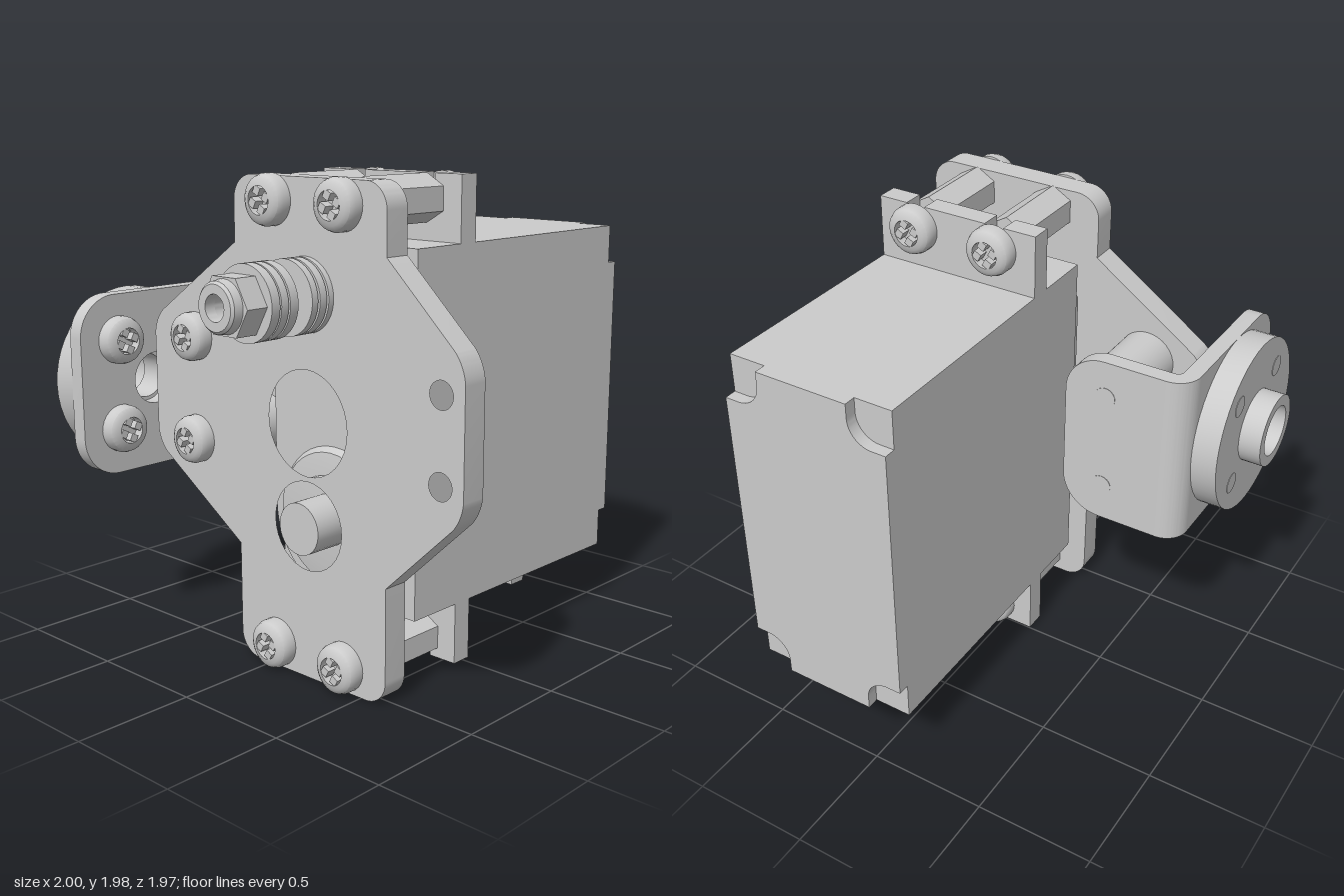
import * as THREE from 'three';
import { toCreasedNormals } from 'three/addons/utils/BufferGeometryUtils.js';

const UP = new THREE.Vector3(0, 1, 0);
const X = new THREE.Vector3(1, 0, 0), NX = new THREE.Vector3(-1, 0, 0);
const Z = new THREE.Vector3(0, 0, 1), NZ = new THREE.Vector3(0, 0, -1);

export function createModel() {
  const model = new THREE.Group();
  const grey = new THREE.MeshStandardMaterial({ color: 0xcccccc });

  const add = (name, geo, parent = model) => {
    const mesh = new THREE.Mesh(toCreasedNormals(geo, 0.6), grey);
    mesh.name = name;
    parent.add(mesh);
    return mesh;
  };
  // Turn something built along +y towards a direction and move it
  const place = (obj, dir, x, y, z) => {
    obj.quaternion.setFromUnitVectors(UP, dir);
    obj.position.set(x, y, z);
    return obj;
  };
  // Box from its limits
  const box = (name, x0, x1, y0, y1, z0, z1) =>
    add(name, new THREE.BoxGeometry(x1 - x0, y1 - y0, z1 - z0)
      .translate((x0 + x1) / 2, (y0 + y1) / 2, (z0 + z1) / 2));
  // Polygon of [u, v, cornerRadius] points
  const roundedShape = (pts) => {
    const s = new THREE.Shape(), n = pts.length;
    pts.forEach(([u, v, r = 0], i) => {
      const p = new THREE.Vector2(u, v);
      const toward = (q) => new THREE.Vector2(q[0], q[1]).sub(p).setLength(r).add(p);
      const a = toward(pts[(i + n - 1) % n]), b = toward(pts[(i + 1) % n]);
      if (i) s.lineTo(a.x, a.y); else s.moveTo(a.x, a.y);
      if (r) s.bezierCurveTo(a.x + (u - a.x) * 0.55, a.y + (v - a.y) * 0.55,
        b.x + (u - b.x) * 0.55, b.y + (v - b.y) * 0.55, b.x, b.y);
    });
    s.closePath();
    return s;
  };
  const hole = (s, u, v, r) => s.holes.push(new THREE.Path().absarc(u, v, r, 0, Math.PI * 2, true));
  const extrude = (s, depth) =>
    new THREE.ExtrudeGeometry(s, { depth, bevelEnabled: false, curveSegments: 16 });
  // Extrude a (z, y) outline between two x values
  const slabX = (name, s, x0, x1) =>
    add(name, extrude(s, x1 - x0).rotateY(-Math.PI / 2).translate(x1, 0, 0));
  const lathe = (pts, seg = 40) =>
    new THREE.LatheGeometry(pts.map(([r, h]) => new THREE.Vector2(r, h)), seg);
  const ring = (r, ri, h) => lathe([[ri, 0], [r, 0], [r, h], [ri, h], [ri, 0]]);

  // Pan-head screw with a cross recess, base at the origin
  const screw = (name, dir, x, y, z) => {
    const g = new THREE.Group();
    g.name = name;
    add('screwHead', lathe([[0, 0], [0.1, 0], [0.1, 0.035], [0.092, 0.056], [0.075, 0.068],
      [0.055, 0.073], [0.055, 0.03], [0, 0.03]], 28), g);
    for (let i = 0; i < 4; i++) {
      const a = i * Math.PI / 2 + 0.3;
      add('recessLand', new THREE.BoxGeometry(0.032, 0.041, 0.032).rotateY(Math.PI / 4)
        .translate(0.038, 0.0505, 0).rotateY(a), g);
    }
    model.add(place(g, dir, x, y, z));
  };

  // Servo body with notched end corners
  const zc = 0.22, z0 = -0.14, z1 = 0.58, y0 = 0.275, y1 = 1.72, n = 0.16;
  box('servoBody', -0.33, 0.95, y0, y1, z0, z1);
  slabX('servoEndCap', roundedShape([
    [z0 + n, y0], [z1 - n, y0], [z1 - n, y0 + n, 0.1], [z1, y0 + n], [z1, y1 - n],
    [z1 - n, y1 - n, 0.1], [z1 - n, y1], [z0 + n, y1], [z0 + n, y1 - n, 0.1],
    [z0, y1 - n], [z0, y0 + n], [z0 + n, y0 + n, 0.1]]), 0.95, 1);

  // Raised gear cover with a half-round lower end and sloped upper end
  const cover = new THREE.Shape();
  cover.moveTo(zc + 0.33, 1.53);
  cover.lineTo(zc - 0.33, 1.53);
  cover.lineTo(zc - 0.33, 0.635);
  cover.absarc(zc, 0.635, 0.33, Math.PI, Math.PI * 2, false);
  cover.closePath();
  slabX('gearCover', cover, -0.4, -0.33);
  add('gearCoverSlope', extrude(roundedShape([[-0.4, 1.53], [-0.33, 1.53], [-0.33, 1.6]]), 0.66)
    .translate(0, 0, zc - 0.33));
  place(add('shaftBoss', lathe([[0.29, 0], [0.27, 0.025], [0.2, 0.035], [0, 0.035]])),
    NX, -0.4, 0.635, zc);
  place(add('outputShaft', lathe([[0.105, 0], [0.105, 0.17], [0, 0.17]], 24)),
    NX, -0.43, 0.635, zc);

  // Mounting ears with open screw slots, ribs, standoffs and screws
  const screwZ = [0.045, 0.41], sw = 0.042;
  for (const top of [true, false]) {
    const fy = (d) => (top ? 1.98 - d : 0.02 + d);
    const [a, b] = screwZ;
    const outline = [[z0, 0.27], [z0, 0], [a - sw, 0], [a - sw, 0.13, 0.035], [a + sw, 0.13, 0.035],
      [a + sw, 0], [b - sw, 0], [b - sw, 0.13, 0.035], [b + sw, 0.13, 0.035], [b + sw, 0],
      [z1, 0], [z1, 0.27]].map(([u, d, r]) => [u, fy(d), r]);
    slabX('mountingEar', roundedShape(outline), -0.08, 0.01);
    const rib = [[-0.15, 0.27], [-0.12, 0.17], [-0.08, 0.17], [-0.08, 0.27]]
      .map(([u, d]) => [u, fy(d)]);
    add('earRib', extrude(roundedShape(rib), 0.04).translate(0, 0, zc - 0.02));
    const sy = top ? 1.885 : 0.11;
    for (const z of screwZ) {
      place(add('hexStandoff', new THREE.CylinderGeometry(0.095, 0.095, 0.36, 6)
        .rotateY(Math.PI / 6)), X, -0.26, sy, z);
      place(add('screwThread', new THREE.CylinderGeometry(0.038, 0.038, 0.1, 16)), X, -0.035, sy, z);
      screw('earScrew', X, 0.01, sy, z);
      screw('plateScrew', NX, -0.55, sy, z);
    }
  }

  // Cable outlet under the body
  box('cableCollar', 0.63, 0.77, 0.225, 0.28, 0.1, 0.35);
  const outlet = new THREE.BoxGeometry(0.12, 0.14, 0.21);
  const op = outlet.attributes.position;
  for (let i = 0; i < op.count; i++) {
    if (op.getY(i) < 0) op.setXYZ(i, op.getX(i) * 0.7, op.getY(i), op.getZ(i) * 0.88);
  }
  add('cableOutlet', outlet.translate(0.7, 0.16, 0.225));

  // Main plate
  const plate = roundedShape([
    [0.625, 0.005, 0.1], [0.625, 0.48], [0.985, 0.82, 0.07], [0.985, 1.37, 0.07], [0.625, 1.71],
    [0.625, 1.975, 0.1], [-0.17, 1.975, 0.1], [-0.17, 1.71], [-0.68, 1.36, 0.07],
    [-0.68, 0.82, 0.07], [-0.17, 0.48], [-0.17, 0.005, 0.1]].reverse());
  hole(plate, 0.88, 1.255, 0.053);
  hole(plate, 0.88, 0.925, 0.053);
  hole(plate, zc, 1.045, 0.21);
  hole(plate, zc, 0.635, 0.18);
  hole(plate, zc, 1.54, 0.06);
  slabX('mainPlate', plate, -0.55, -0.44);

  // Washer stacks and lock nut
  for (const [x, h, r] of [[-0.55, 0.025, 0.145], [-0.585, 0.035, 0.145], [-0.63, 0.03, 0.145],
    [-0.55, 0.1, 0.115], [-0.73, 0.04, 0.145], [-0.778, 0.035, 0.145], [-0.82, 0.04, 0.145],
    [-0.73, 0.12, 0.11]]) {
    place(add('washer', ring(r, 0.06, h)), NX, x, 1.54, zc);
  }
  const hex = new THREE.Shape();
  for (let i = 0; i < 6; i++) {
    const a = i * Math.PI / 3;
    hex[i ? 'lineTo' : 'moveTo'](zc + 0.122 * Math.cos(a), 1.54 + 0.122 * Math.sin(a));
  }
  hex.closePath();
  hole(hex, zc, 1.54, 0.05);
  slabX('lockNut', hex, -0.955, -0.86);
  place(add('lockNutCollar', lathe([[0.05, 0], [0.1, 0], [0.095, 0.035], [0.085, 0.045],
    [0.05, 0.045], [0.05, 0]], 28)), NX, -0.955, 1.54, zc);

  // Angle bracket: side leg, bend and rear leg
  const yb = 0.715, yt = 1.472, hx = -0.533, hy = 1.094;
  slabX('bracketSideLeg', roundedShape([[-0.68, yb], [-0.24, yb, 0.17], [-0.24, yt, 0.17],
    [-0.68, yt]]), -0.15, -0.08);
  const bend = new THREE.Shape();
  bend.absarc(-0.18, 0.68, 0.1, 0, Math.PI / 2, false);
  bend.absarc(-0.18, 0.68, 0.03, Math.PI / 2, 0, true);
  bend.closePath();
  add('bracketBend', extrude(bend, yt - yb).rotateX(-Math.PI / 2).translate(0, yb, 0));
  const rear = roundedShape([[-0.91, yb, 0.17], [-0.18, yb], [-0.18, yt], [-0.91, yt, 0.17]]);
  hole(rear, hx, hy, 0.11);
  add('bracketRearLeg', extrude(rear, 0.07).translate(0, 0, -0.78));

  // Round spacers between plate and bracket
  for (const y of [0.88, 1.31]) {
    place(add('roundSpacer', new THREE.CylinderGeometry(0.125, 0.125, 0.29, 32)), X, -0.295, y, -0.42);
    place(add('screwTip', new THREE.CylinderGeometry(0.045, 0.045, 0.06, 20)), X, -0.108, y, -0.42);
    screw('spacerScrew', NX, -0.55, y, -0.42);
  }

  // Round flange with bored hub
  place(add('hubFlange', lathe([[0.11, 0], [0.377, 0], [0.377, 0.11], [0.157, 0.11],
    [0.157, 0.205], [0.11, 0.205], [0.11, 0.13], [0.095, 0.13], [0.095, 0], [0.11, 0]], 48)),
    NZ, hx, hy, -0.78);
  for (const sx of [-1, 1]) {
    for (const sy of [-1, 1]) {
      const x = hx + sx * 0.188, y = hy + sy * 0.188;
      screw('hubScrew', Z, x, y, -0.715);
      place(add('screwTip', new THREE.CylinderGeometry(0.045, 0.045, 0.1, 20)), Z, x, y, -0.842);
    }
  }
  return model;
}
